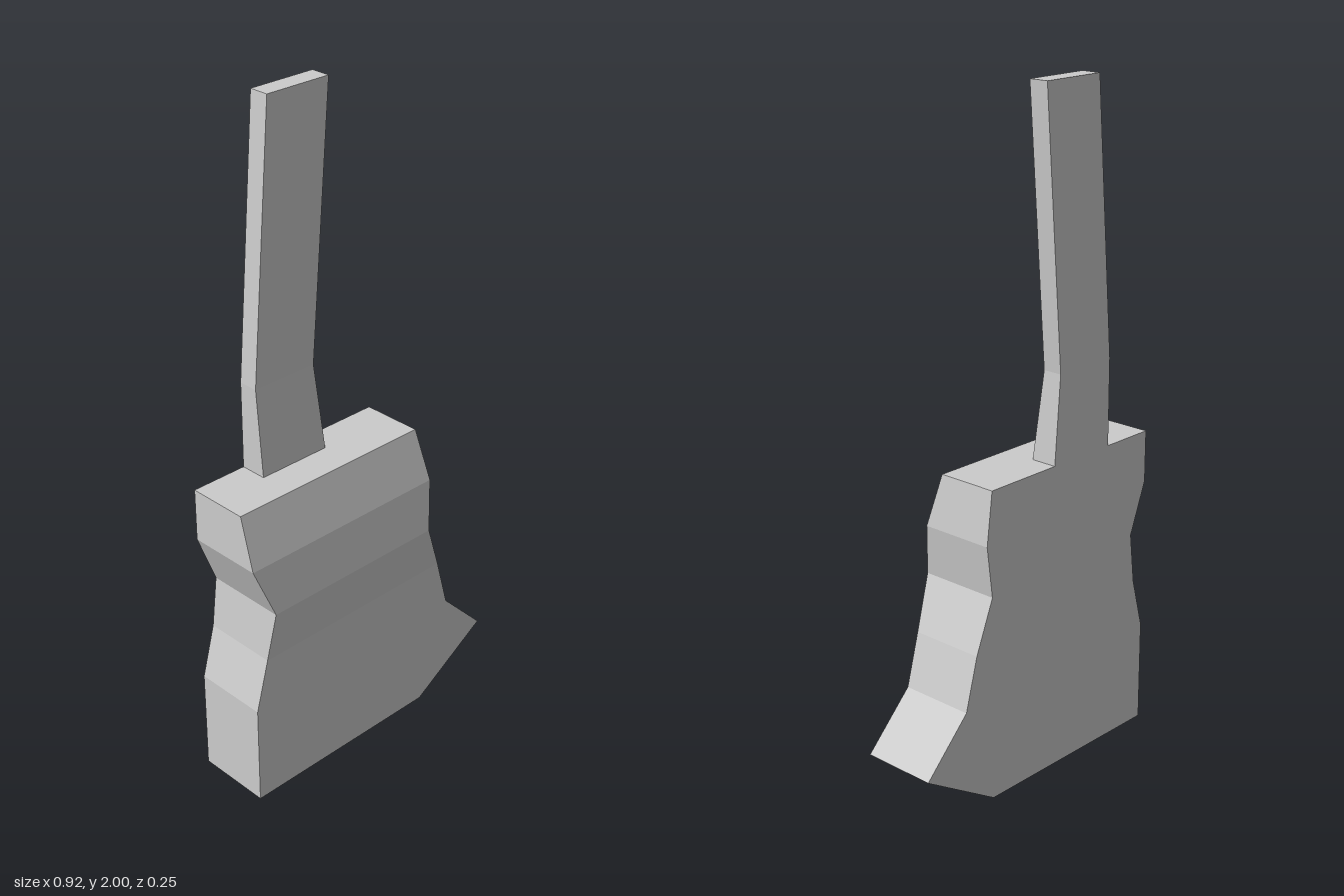
import * as THREE from 'three';

const BACK = -0.125; // everything shares one flat back plane

// Loft of rectangular sections [y, xLeft, xRight, zFront], closed at both ends.
function loft(name, sections, material) {
  const rings = sections.map(([y, x0, x1, zf]) => [
    [x0, y, zf], [x1, y, zf], [x1, y, BACK], [x0, y, BACK],
  ]);
  const positions = [];
  const quad = (a, b, c, d) => positions.push(...a, ...b, ...c, ...a, ...c, ...d);

  for (let i = 0; i < rings.length - 1; i++) {
    const low = rings[i], high = rings[i + 1];
    for (let j = 0; j < 4; j++) {
      const k = (j + 1) % 4;
      quad(low[j], low[k], high[k], high[j]);
    }
  }
  const bottom = rings[0], top = rings[rings.length - 1];
  quad(bottom[3], bottom[2], bottom[1], bottom[0]);
  quad(...top);

  const geometry = new THREE.BufferGeometry();
  geometry.setAttribute('position', new THREE.Float32BufferAttribute(positions, 3));
  geometry.computeVertexNormals();
  const mesh = new THREE.Mesh(geometry, material);
  mesh.name = name;
  return mesh;
}

export function createModel() {
  const group = new THREE.Group();
  const material = new THREE.MeshStandardMaterial({ color: 0xcccccc, flatShading: true });

  // Wide body with a pinched waist and a pointed lower corner
  group.add(loft('body', [
    [0, -0.46, 0.2, 0.105],
    [0.16, -0.46, 0.46, 0.105],
    [0.313, -0.46, 0.308, 0.105],
    [0.47, -0.418, 0.265, 0.105],
    [0.625, -0.4, 0.202, 0.125],
    [0.78, -0.46, 0.222, 0.105],
    [0.938, -0.46, 0.202, 0.062],
  ], material));

  // Slim neck, bent sideways above its thicker root
  group.add(loft('neck', [
    [0.938, -0.285, -0.053, -0.043],
    [1.2, -0.285, -0.074, -0.065],
    [2, -0.22, -0.01, -0.065],
  ], material));

  return group;
}
